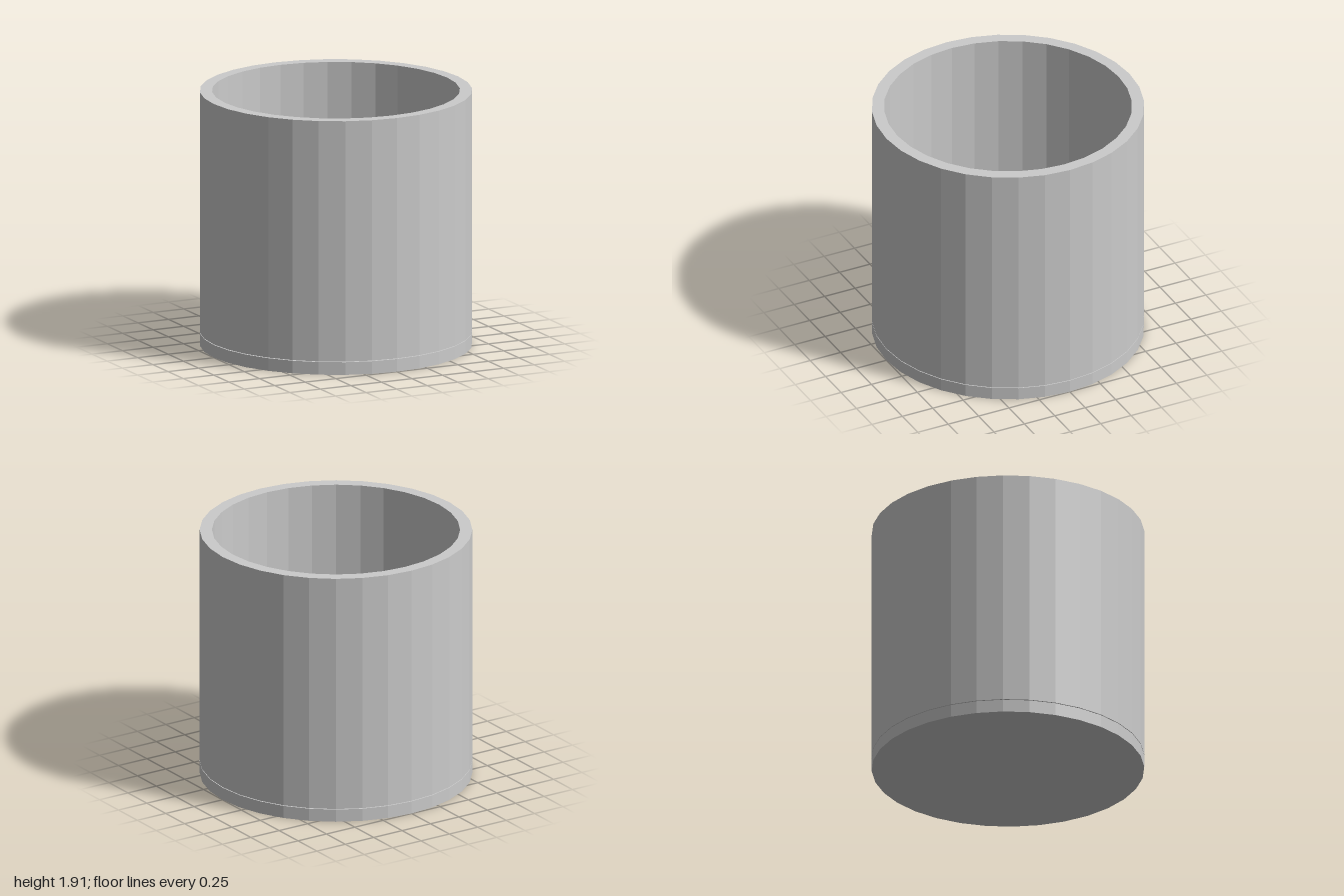
import * as THREE from 'three';

const SIDES = 32;
const OUTER = 1, INNER = 0.91, NECK = 0.935;
const BASE_TOP = 0.095, WALL_BOTTOM = 0.1, HEIGHT = 1.91;

// Faceted solid of revolution; profile runs up the outside and down the inside
function turned(name, profile, material) {
  const points = profile.map(([r, y]) => new THREE.Vector2(r, y));
  const mesh = new THREE.Mesh(new THREE.LatheGeometry(points, SIDES), material);
  mesh.name = name;
  return mesh;
}

export function createModel() {
  const group = new THREE.Group();
  group.name = 'cup';
  const material = new THREE.MeshStandardMaterial({ color: 0xcccccc, flatShading: true });

  // Solid base disc, with a slim recessed neck that carries the floor
  group.add(turned('base', [
    [0, 0], [OUTER, 0], [OUTER, BASE_TOP], [NECK, BASE_TOP],
    [NECK, WALL_BOTTOM], [0, WALL_BOTTOM],
  ], material));

  // Thick open cylinder wall with a flat rim
  group.add(turned('wall', [
    [INNER, WALL_BOTTOM], [OUTER, WALL_BOTTOM], [OUTER, HEIGHT],
    [INNER, HEIGHT], [INNER, WALL_BOTTOM],
  ], material));

  return group;
}
